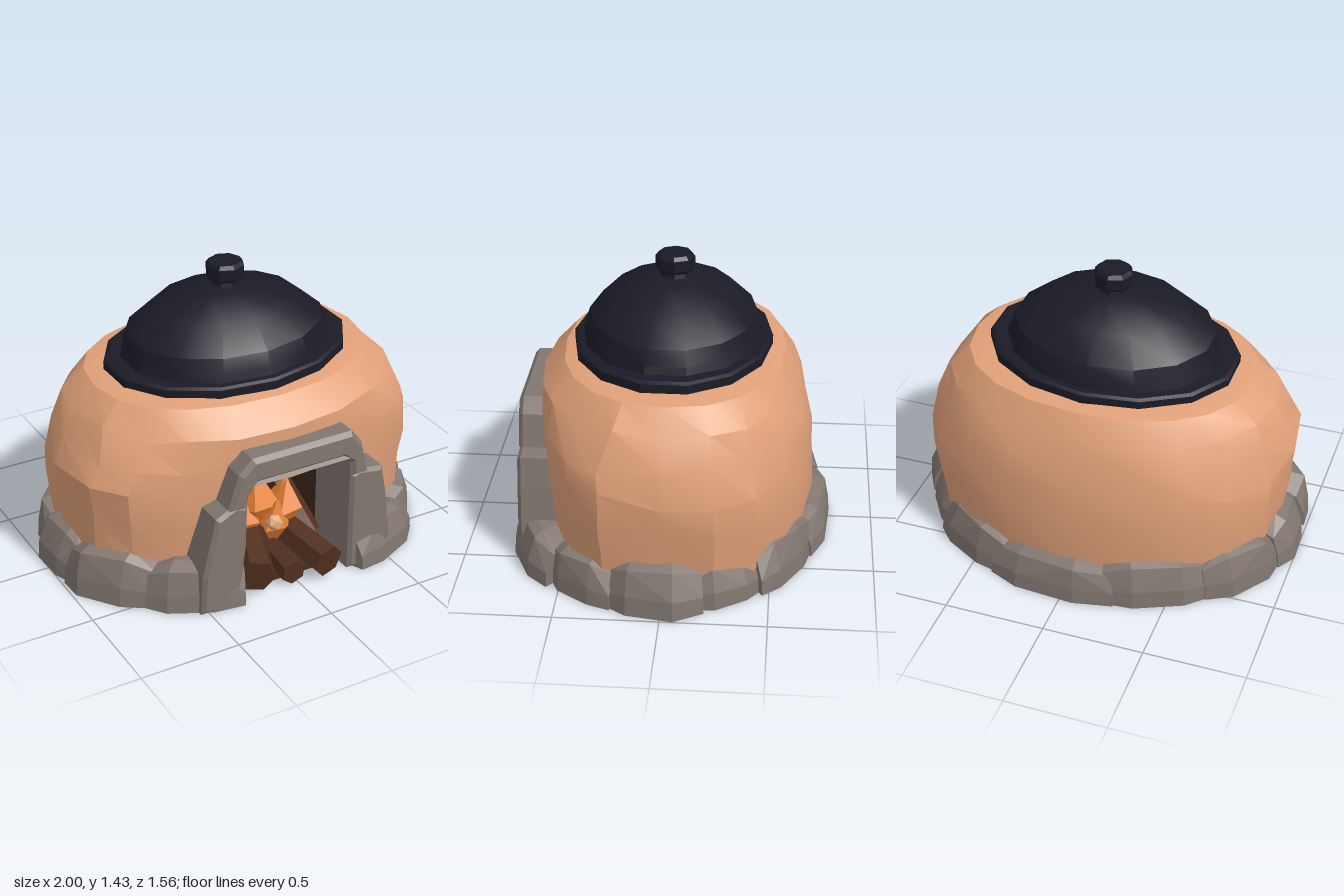
import * as THREE from 'three';
import { toCreasedNormals } from 'three/addons/utils/BufferGeometryUtils.js';
import { ConvexGeometry } from 'three/addons/geometries/ConvexGeometry.js';

const mat = (name, color, extra = {}) => {
  const m = new THREE.MeshStandardMaterial({ color, ...extra });
  m.name = name;
  return m;
};

export function createModel() {
  const model = new THREE.Group();
  model.name = 'clayOven';
  const clay = mat('clay', 0xe1a179);
  const stone = mat('stone', 0x827770);
  const iron = mat('darkIron', 0x1b1b27);
  const soot = mat('soot', 0x3c291d, { side: THREE.BackSide });
  const wood = mat('wood', 0x52301f);
  const flame = mat('flame', 0xe58034);
  const ember = mat('ember', 0xf0b48c);

  let seed = 7;
  const rand = () => (seed = (seed * 16807) % 2147483647) / 2147483647;
  const vary = (a) => (rand() - 0.5) * 2 * a;

  const add = (name, geo, material, parent = model) => {
    const mesh = new THREE.Mesh(geo, material);
    mesh.name = name;
    parent.add(mesh);
    return mesh;
  };
  const V = (x, y, z) => new THREE.Vector3(x, y, z);

  // Clay body: oval rings [y, x radius, front z, back z], with a gap for the fire mouth
  const rings = [
    [0, 0.87, 0.59, 0.66], [0.22, 0.9, 0.61, 0.69], [0.4, 0.915, 0.63, 0.69],
    [0.56, 0.925, 0.64, 0.68], [0.7, 0.875, 0.645, 0.645], [0.83, 0.815, 0.645, 0.605],
    [0.95, 0.71, 0.535, 0.54], [0.965, 0.62, 0.47, 0.47], [0.965, 0, 0, 0],
  ];
  const cols = 20;
  const pos = [], idx = [];
  const power = (v, e) => Math.sign(v) * Math.abs(v) ** e;
  rings.forEach(([y, rx, zf, zb], i) => {
    for (let j = 0; j < cols; j++) {
      const a = (j / cols) * Math.PI * 2;
      const mouth = j >= 4 && j <= 6;
      const wob = mouth || i > 5 ? 1 : 1 + vary(0.012);
      const x = power(Math.cos(a), 0.92) * rx * wob - 0.008;
      // the lower front is flatter than the back
      const s = power(Math.sin(a), Math.sin(a) > 0 && i < 5 ? 0.66 : 0.88);
      const dy = mouth || i < 1 || i > 5 ? 0 : vary(0.03);
      pos.push(x, y + dy + (i > 4 ? 0.018 * x : 0), s * (s > 0 ? zf : zb) * wob);
      if (i === rings.length - 1 || (i < 3 && (j === 4 || j === 5))) continue;
      const n = (j + 1) % cols, p = i * cols, q = p + cols;
      idx.push(p + j, q + j, q + n, p + j, q + n, p + n);
    }
  });
  const body = new THREE.BufferGeometry();
  body.setAttribute('position', new THREE.Float32BufferAttribute(pos, 3));
  body.setIndex(idx);
  add('clayBody', toCreasedNormals(body, 0.4), clay);

  // Firebox seen through the mouth
  const box = new THREE.BoxGeometry(0.58, 0.58, 0.62);
  box.translate(-0.015, 0.295, 0.33);
  add('fireboxInterior', box, soot);

  // Underside
  const under = new THREE.CircleGeometry(1, 24);
  under.rotateX(Math.PI / 2).scale(0.9, 1, 0.64);
  add('baseFloor', under, stone);

  // Ring of rough foundation stones, leaving the mouth free: [end angle, height, reach]
  const stones = new THREE.Group();
  stones.name = 'foundationStones';
  model.add(stones);
  const spans = [[45, 0.22, 1.08], [20, 0.21, 1.01], [-14, 0.255, 1.0], [-40, 0.21, 0.95], [-68, 0.24, 0.99],
    [-104, 0.21, 1.02], [-135, 0.23, 1.0], [-166, 0.22, 1.01], [-193, 0.235, 1.015], [-224, 0.25, 1.045], [-250, 0.23, 1.055]];
  let start = 70;
  spans.forEach(([end, h, reach]) => {
    const pts = [];
    [0, 0.25, 0.7, 1].forEach((t) => {
      const a = THREE.MathUtils.degToRad(start + 1.5 + (end - start - 3) * t);
      const edge = t === 0 || t === 1;
      const out = reach * (edge ? 0.98 : 1.012) + vary(0.01);
      const top = h * (edge ? 0.78 : 1) + vary(0.015);
      [[out, 0], [out - 0.008, top * 0.4], [out - 0.05 + vary(0.02), top * 0.9], [out - 0.12, top], [0.87, top], [0.87, 0]]
        .forEach(([r, y]) => pts.push(V(Math.cos(a) * r * 0.98, y, Math.sin(a) * r * 0.77)));
    });
    add('foundationStone', new ConvexGeometry(pts), stone, stones);
    start = end;
  });

  // Stone surround of the mouth: outline, back z, front z, bevel
  const slab = (name, outline, z0, z1, b) => {
    const shape = new THREE.Shape(outline.map(([x, y]) => new THREE.Vector2(x, y)));
    const geo = new THREE.ExtrudeGeometry(shape, {
      depth: z1 - z0 - 2 * b, bevelEnabled: true, bevelSize: b, bevelThickness: b, bevelOffset: -b, bevelSegments: 1,
    });
    geo.translate(0, 0, z0 + b);
    return add(name, geo, stone);
  };
  slab('archLintel', [[-0.4, 0.52], [-0.34, 0.7], [-0.27, 0.77], [0.27, 0.77], [0.325, 0.7], [0.37, 0.52],
    [0.27, 0.52], [0.265, 0.6], [0.22, 0.64], [-0.24, 0.64], [-0.29, 0.58], [-0.3, 0.52]], 0.46, 0.735, 0.022);
  slab('leftPillar', [[0.27, 0], [0.27, 0.53], [0.31, 0.55], [0.45, 0.53], [0.48, 0.38], [0.51, 0.15], [0.51, 0]], 0.4, 0.73, 0.018);
  slab('rightPillar', [[-0.34, 0], [-0.54, 0], [-0.53, 0.2], [-0.46, 0.5], [-0.36, 0.55], [-0.295, 0.53], [-0.3, 0.3]], 0.4, 0.73, 0.018);
  // Sloping underside of the lintel
  const soffit = add('archSoffit', new THREE.BoxGeometry(0.56, 0.05, 0.17), stone);
  soffit.position.set(-0.015, 0.605, 0.65);
  soffit.rotation.x = -0.6;

  // Firewood: [from, to, radius, roll]
  const logs = new THREE.Group();
  logs.name = 'firewood';
  model.add(logs);
  [
    [V(-0.23, 0.105, 0.7), V(-0.08, 0.17, 0.3), 0.095, 0.3],
    [V(-0.03, 0.068, 0.71), V(-0.02, 0.1, 0.3), 0.065, 0.1],
    [V(0.14, 0.1, 0.75), V(0.06, 0.16, 0.3), 0.085, 0.5],
    [V(-0.24, 0.08, 0.5), V(0.2, 0.09, 0.22), 0.07, 0],
    [V(0.22, 0.07, 0.45), V(0.12, 0.42, 0.15), 0.06, 0.2],
    [V(-0.22, 0.07, 0.32), V(-0.14, 0.45, 0.12), 0.06, 0],
  ].forEach(([from, to, r, roll]) => {
    const geo = new THREE.CylinderGeometry(r * 0.9, r, from.distanceTo(to), 6);
    geo.rotateY(roll);
    const log = add('log', toCreasedNormals(geo, 0.3), wood, logs);
    log.position.lerpVectors(from, to, 0.5);
    log.quaternion.setFromUnitVectors(V(0, 1, 0), to.clone().sub(from).normalize());
  });

  // Flames: pointed tongues [tip x, tip y, z, radius, lean]
  const fire = new THREE.Group();
  fire.name = 'fire';
  model.add(fire);
  [
    [-0.05, 0.485, 0.36, 0.135, 0.0], [0.1, 0.41, 0.42, 0.105, -0.05], [-0.17, 0.385, 0.4, 0.095, 0.06],
    [-0.23, 0.36, 0.33, 0.075, 0.07], [0.16, 0.36, 0.32, 0.08, -0.06], [0.02, 0.34, 0.47, 0.08, -0.03],
  ].forEach(([x, y, z, r, lean]) => {
    const base = 0.08, mid = base + (y - base) * 0.5;
    const pts = [V(x, y, z), V(x + lean, base, z)];
    for (let k = 0; k < 5; k++) {
      const a = (k / 5) * Math.PI * 2 + x * 9;
      pts.push(V(x + lean * 0.5 + Math.cos(a) * r, mid + vary(0.03), z + Math.sin(a) * r));
    }
    add('flame', new ConvexGeometry(pts), flame, fire);
  });
  const core = add('emberCore', new THREE.IcosahedronGeometry(0.042, 0), ember, fire);
  core.position.set(-0.035, 0.255, 0.53);

  // Iron lid, set down slightly askew
  const lid = new THREE.Group();
  lid.name = 'lid';
  lid.position.x = 0.012;
  lid.rotation.z = 0.025;
  model.add(lid);
  const turned = (name, profile, sides, rx, rz, crease) => {
    const geo = new THREE.LatheGeometry(profile.map(([x, y]) => new THREE.Vector2(x, y)), sides);
    geo.scale(rx, 1, rz);
    return add(name, toCreasedNormals(geo, crease), iron, lid);
  };
  turned('lidRim', [[0, 0.962], [1, 0.962], [1, 1.005], [0.97, 1.015], [0.8, 1.015]], 14, 0.622, 0.485, 0.5)
    .position.z = 0.008;
  turned('lidDome', [[1, 1.0], [0.97, 1.05], [0.92, 1.125], [0.66, 1.24], [0.29, 1.308], [0, 1.318]], 14, 0.54, 0.445, 0.5)
    .position.z = 0.008;
  turned('lidKnob', [[0.8, 1.3], [0.7, 1.34], [0.9, 1.34], [1, 1.355], [1, 1.41], [0.85, 1.428], [0, 1.428]], 8, 0.095, 0.095, 0.3)
    .position.x = 0.012;

  return model;
}
